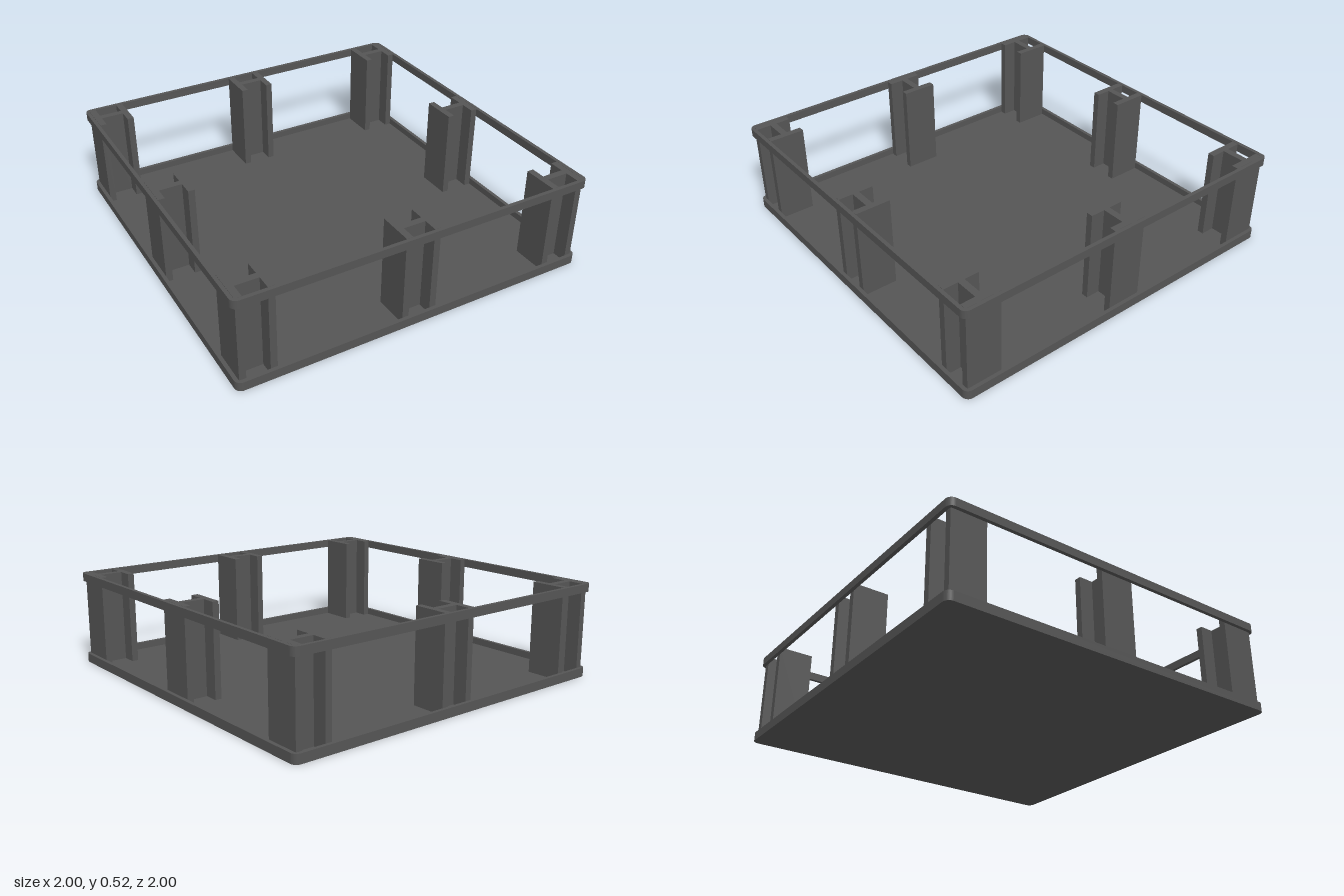
import * as THREE from 'three';

const material = new THREE.MeshStandardMaterial({ color: 0x555555 });

// Square outline with rounded corners, half-size h and corner radius r
function roundedSquare(target, h, r) {
  target.moveTo(-h + r, -h);
  target.lineTo(h - r, -h);
  target.absarc(h - r, -h + r, r, -Math.PI / 2, 0, false);
  target.lineTo(h, h - r);
  target.absarc(h - r, h - r, r, 0, Math.PI / 2, false);
  target.lineTo(-h + r, h);
  target.absarc(-h + r, h - r, r, Math.PI / 2, Math.PI, false);
  target.lineTo(-h, -h + r);
  target.absarc(-h + r, -h + r, r, Math.PI, Math.PI * 1.5, false);
  return target;
}

// Extrude a plan shape upward from y0 to y1
function slab(name, shape, y0, y1) {
  const geometry = new THREE.ExtrudeGeometry(shape, { depth: y1 - y0, bevelEnabled: false, curveSegments: 8 });
  geometry.rotateX(-Math.PI / 2).translate(0, y0, 0);
  const mesh = new THREE.Mesh(geometry, material);
  mesh.name = name;
  return mesh;
}

function frameShape() {
  const shape = roundedSquare(new THREE.Shape(), 1, 0.035);
  shape.holes.push(roundedSquare(new THREE.Path(), 0.98, 0.015));
  return shape;
}

// H-shaped column section: two flanges joined by a web
function columnShape() {
  const h = 0.098, f = 0.062, w = 0.018;
  return new THREE.Shape([
    [-h, -h], [-f, -h], [-f, -w], [f, -w], [f, -h], [h, -h],
    [h, h], [f, h], [f, w], [-f, w], [-f, h], [-h, h],
  ].map(([x, y]) => new THREE.Vector2(x, y)));
}

export function createModel() {
  const model = new THREE.Group();
  model.name = 'openFrameTray';

  // Base floor with its raised rim, and the matching top frame
  const floorTop = 0.012;
  model.add(slab('floor', roundedSquare(new THREE.Shape(), 1, 0.035), 0, floorTop));
  model.add(slab('baseRim', frameShape(), floorTop, 0.05));
  model.add(slab('topFrame', frameShape(), 0.475, 0.52));

  // Eight columns: corners and side midpoints
  const columns = new THREE.Group();
  columns.name = 'columns';
  const spots = [-0.881, 0, 0.881];
  for (const x of spots) {
    for (const z of spots) {
      if (x === 0 && z === 0) continue;
      const column = slab('column', columnShape(), floorTop, 0.52);
      column.position.set(x, 0, z);
      columns.add(column);
    }
  }
  model.add(columns);
  return model;
}
